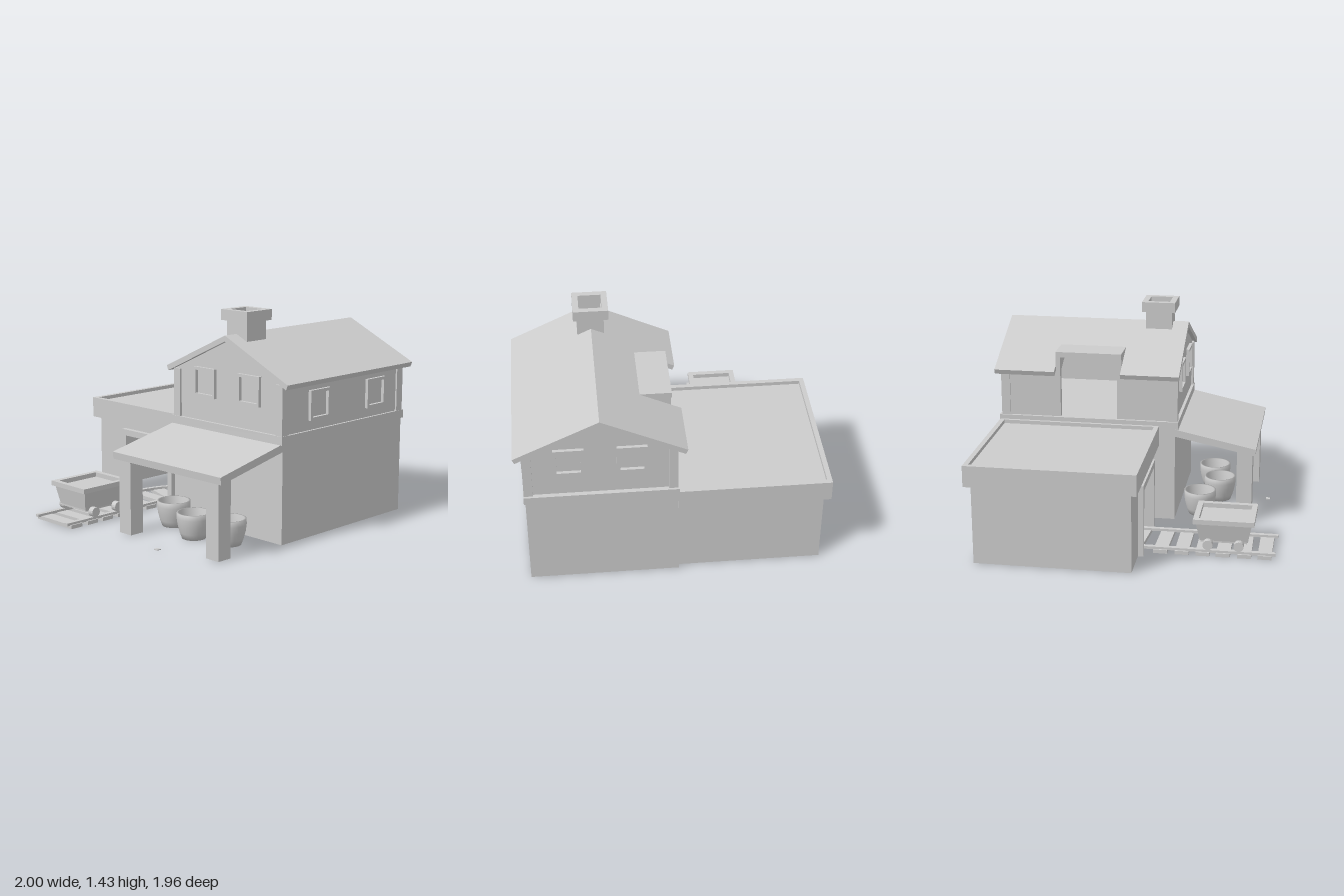
import * as THREE from 'three';

const mat = new THREE.MeshStandardMaterial({ color: 0xcccccc, flatShading: true });
const smooth = new THREE.MeshStandardMaterial({ color: 0xcccccc, side: THREE.DoubleSide });

export function createModel() {
  const root = new THREE.Group();

  const add = (name, geo, parent = root, m = mat) => {
    const mesh = new THREE.Mesh(geo, m);
    mesh.name = name;
    parent.add(mesh);
    return mesh;
  };
  const group = (name) => {
    const g = new THREE.Group();
    g.name = name;
    root.add(g);
    return g;
  };
  // Box from min/max extents
  const box = (name, x0, x1, y0, y1, z0, z1, parent) => {
    const g = new THREE.BoxGeometry(x1 - x0, y1 - y0, z1 - z0);
    g.translate((x0 + x1) / 2, (y0 + y1) / 2, (z0 + z1) / 2);
    return add(name, g, parent);
  };
  const polygon = (pts) => new THREE.Shape(pts.map(([x, y]) => new THREE.Vector2(x, y)));
  const rect = (x0, x1, y0, y1) => polygon([[x0, y0], [x1, y0], [x1, y1], [x0, y1]]);
  const extrude = (shape, depth) => new THREE.ExtrudeGeometry(shape, { depth, bevelEnabled: false });
  // Outline in x/y pushed from z0 to z1
  const slab = (name, pts, z0, z1, parent) =>
    add(name, extrude(polygon(pts), z1 - z0).translate(0, 0, z0), parent);
  // Flat rectangular ring, lying in x/z, from y0 to y1
  const ring = (name, x0, x1, y0, y1, z0, z1, t, parent) => {
    const s = rect(x0, x1, -z1, -z0);
    s.holes.push(rect(x0 + t, x1 - t, -z1 + t, -z0 - t));
    return add(name, extrude(s, y1 - y0).rotateX(-Math.PI / 2).translate(0, y0, 0), parent);
  };

  // Lower storey: hollow, with a tunnel opening on the right-hand side
  const lower = group('lowerHouse');
  box('frontWall', -0.03, 0.935, 0, 0.645, 0.22, 0.25, lower);
  box('backWall', -0.03, 0.935, 0, 0.645, -0.95, -0.92, lower);
  box('outerSideWall', 0.905, 0.935, 0, 0.645, -0.92, 0.22, lower);
  box('tunnelWallFront', -0.03, 0, 0, 0.645, -0.1, 0.22, lower);
  box('tunnelWallBack', -0.03, 0, 0, 0.645, -0.92, -0.58, lower);
  box('tunnelLintel', -0.03, 0, 0.46, 0.645, -0.58, -0.1, lower);
  box('upperFloor', -0.03, 0.945, 0.645, 0.7, -0.965, 0.27, lower);

  // Upper storey
  const upper = group('upperHouse');
  const gable = [[-0.01, 0.7], [0.93, 0.7], [0.93, 1.025], [0.46, 1.25], [-0.01, 1.025]];
  slab('frontGable', gable, 0.22, 0.25, upper);
  slab('backGable', gable, -0.935, -0.905, upper);
  box('outerSideWall', 0.9, 0.93, 0.7, 1.03, -0.905, 0.22, upper);
  box('dormerSideWallFront', -0.01, 0.02, 0.7, 1.03, -0.12, 0.22, upper);
  box('dormerSideWallBack', -0.01, 0.02, 0.7, 1.03, -0.905, -0.57, upper);
  for (const x of [-0.02, 0.885])
    for (const z of [-0.95, 0.205])
      box('cornerPost', x, x + 0.057, 0.7, 1.02, z, z + 0.06, upper);

  // Windows
  const addWindow = (x, y, z, turn) => {
    const w = group('window');
    const s = rect(-0.095, 0.095, -0.097, 0.097);
    s.holes.push(rect(-0.075, 0.075, -0.077, 0.077));
    add('windowFrame', extrude(s, 0.022), w);
    w.position.set(x, y, z);
    w.rotation.y = turn;
  };
  for (const x of [0.265, 0.655]) {
    addWindow(x, 0.955, 0.25, 0);
    addWindow(x, 0.955, -0.935, Math.PI);
  }
  for (const z of [-0.09, -0.66]) addWindow(0.93, 0.86, z, Math.PI / 2);

  // Pitched roof, cut back around the dormer
  const roof = group('roof');
  const ridge = 0.46, slope = 0.472;
  const topY = (d) => 1.283 - slope * d;
  const pitch = (dir, d) => [
    [ridge, 1.283], [ridge, 1.245],
    [ridge + dir * (d - 0.013), topY(d) - 0.032], [ridge + dir * d, topY(d)]];
  slab('outerPitch', pitch(1, 0.535).reverse(), -0.982, 0.278, roof);
  for (const [z0, z1, d] of [[-0.982, -0.57, 0.535], [-0.57, -0.12, 0.28], [-0.12, 0.278, 0.535]])
    slab('innerPitch', pitch(-1, d), z0, z1, roof);

  // Dormer doorway opening onto the flat roof
  const dormer = group('dormer');
  box('dormerRoof', -0.015, 0.19, 1.118, 1.155, -0.57, -0.12, dormer);
  for (const z of [-0.57, -0.15]) {
    slab('dormerCheek', [[-0.01, 1.0], [0.18, 1.1], [0.18, 1.12], [-0.01, 1.12]], z, z + 0.03, dormer);
    box('doorPost', -0.01, 0.03, 0.7, 1.12, z, z + 0.03, dormer);
  }

  // Chimney with an open flue
  const chimney = group('chimney');
  ring('chimneyShaft', 0.375, 0.55, 1.17, 1.37, -0.01, 0.17, 0.015, chimney);
  ring('chimneyCap', 0.345, 0.575, 1.365, 1.435, -0.035, 0.195, 0.04, chimney);

  // Porch
  const porch = group('porch');
  const porchRoof = extrude(polygon([[0.25, 0.6], [0.795, 0.488], [0.8, 0.535], [0.25, 0.65]]), 0.967);
  add('porchRoof', porchRoof.rotateY(-Math.PI / 2).translate(0.935, 0, 0), porch);
  for (const x of [0, 0.788]) {
    const post = extrude(polygon([[0.67, 0], [0.775, 0], [0.775, 0.505], [0.67, 0.526]]), 0.107);
    add('porchPost', post.rotateY(-Math.PI / 2).translate(x + 0.107, 0, 0), porch);
  }
  box('groundChip', 0.437, 0.467, 0, 0.006, 0.85, 0.88);

  // Open barrels
  const barrelProfile = [[0, 0], [0.077, 0], [0.092, 0.04], [0.105, 0.09], [0.111, 0.135],
    [0.11, 0.17], [0.098, 0.17], [0.095, 0.1], [0.075, 0.03], [0, 0.03]]
    .map(([x, y]) => new THREE.Vector2(x, y));
  for (const [x, z] of [[0.125, 0.41], [0.425, 0.52], [0.68, 0.46]])
    add('barrel', new THREE.LatheGeometry(barrelProfile, 28), root, smooth).position.set(x, 0, z);

  // Flat-roofed annex
  const annex = group('annex');
  const front = polygon([[-0.96, 0], [-0.66, 0], [-0.66, 0.44], [-0.225, 0.44], [-0.225, 0],
    [-0.03, 0], [-0.03, 0.53], [-0.96, 0.53]]);
  add('frontWall', extrude(front, 0.04).translate(0, 0, 0.06), annex);
  box('backWall', -0.96, -0.03, 0, 0.53, -0.92, -0.88, annex);
  box('sideWall', -0.96, -0.92, 0, 0.53, -0.88, 0.06, annex);
  box('flatRoof', -0.99, -0.03, 0.53, 0.645, -0.95, 0.13, annex);
  ring('parapet', -1, -0.02, 0.53, 0.67, -0.96, 0.14, 0.032, annex);
  for (const x of [-0.695, -0.225]) box('doorJamb', x, x + 0.04, 0, 0.44, 0.05, 0.135, annex);
  box('doorLintel', -0.695, -0.185, 0.44, 0.483, 0.05, 0.135, annex);

  // Track: straight, quarter bend, then into the house
  const track = group('track');
  const R = 0.45, cx = 0, cz = 0.11, endX = 0.33, startZ = 0.98;
  const edge = (r) => {
    const pts = [[cx - r, -startZ]];
    for (let i = 0; i <= 16; i++) {
      const a = Math.PI - (i / 16) * Math.PI / 2;
      pts.push([cx + r * Math.cos(a), -cz + r * Math.sin(a)]);
    }
    pts.push([endX, -cz + r]);
    return pts;
  };
  for (const r of [R - 0.152, R + 0.152]) {
    const s = polygon([...edge(r - 0.015), ...edge(r + 0.015).reverse()]);
    add('rail', extrude(s, 0.018).rotateX(-Math.PI / 2).translate(0, 0.022, 0), track);
  }
  const tie = (x, z, turn, skew) => {
    const t = add('tie', new THREE.BoxGeometry(0.355, 0.025, 0.09), track);
    t.position.set(x, 0.0125, z);
    t.rotation.y = turn + skew;
  };
  for (let i = 0; i < 6; i++) tie(-R, 0.91 - i * 0.134, 0, [0, 0.02, 0, 0.01, 0, -0.03][i]);
  for (let i = 0; i < 6; i++) {
    const a = (i + 0.3) / 6 * Math.PI / 2;
    tie(cx - R * Math.cos(a), cz - R * Math.sin(a), -a, 0);
  }
  for (let i = 0; i < 3; i++) tie(0.03 + i * 0.125, cz - R, Math.PI / 2, 0);

  // Cart: tapered open tub on four wheels
  const cart = group('cart');
  cart.position.set(-0.447, 0, 0.642);
  const tub = new THREE.BoxGeometry(0.31, 0.125, 0.36);
  const p = tub.attributes.position;
  for (let i = 0; i < p.count; i++)
    if (p.getY(i) < 0) p.setXYZ(i, p.getX(i) * 0.83, p.getY(i), p.getZ(i) * 0.87);
  add('tub', tub, cart).position.y = 0.152;
  ring('tubRim', -0.17, 0.17, 0.213, 0.245, -0.198, 0.198, 0.036, cart);
  box('chassis', -0.12, 0.12, 0.075, 0.095, -0.15, 0.15, cart);
  for (const z of [-0.1, 0.1]) {
    const axle = new THREE.CylinderGeometry(0.012, 0.012, 0.3, 8).rotateZ(Math.PI / 2);
    add('axle', axle, cart).position.set(0, 0.072, z);
    for (const x of [-0.152, 0.152]) {
      const wheel = new THREE.CylinderGeometry(0.033, 0.033, 0.04, 16).rotateZ(Math.PI / 2);
      add('wheel', wheel, cart).position.set(x, 0.072, z);
    }
  }
  return root;
}
